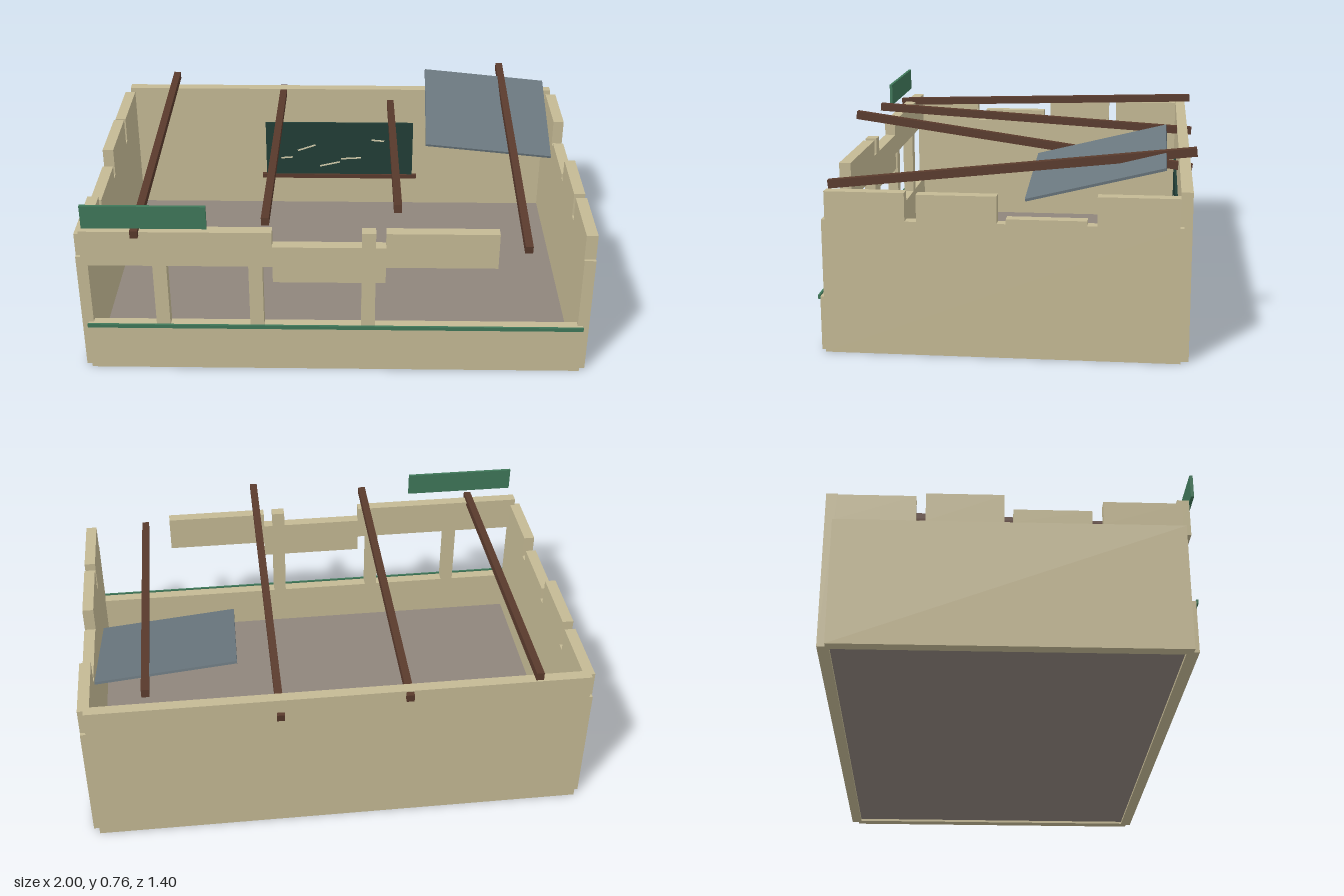
import * as THREE from 'three';

const material = (name, color) => {
  const m = new THREE.MeshStandardMaterial({ color });
  m.name = name;
  return m;
};

export function createModel() {
  const model = new THREE.Group();
  model.name = 'ruinedSchoolroom';

  const plaster = material('plaster', 0xc4b994);
  const concrete = material('concreteFloor', 0x8f857c);
  const timber = material('timber', 0x593a2c);
  const trim = material('greenTrim', 0x3f7759);
  const boardGreen = material('boardGreen', 0x213d36);
  const metal = material('sheetMetal', 0x6a777e);
  const chalk = material('chalk', 0xd2ccac);

  // Box given by its lower and upper limits on each axis
  const block = (name, mat, [x0, x1], [y0, y1], [z0, z1], parent = model) => {
    const mesh = new THREE.Mesh(new THREE.BoxGeometry(x1 - x0, y1 - y0, z1 - z0), mat);
    mesh.position.set((x0 + x1) / 2, (y0 + y1) / 2, (z0 + z1) / 2);
    mesh.name = name;
    parent.add(mesh);
    return mesh;
  };
  const group = (name) => {
    const g = new THREE.Group();
    g.name = name;
    model.add(g);
    return g;
  };

  // Floor and solid back wall
  block('floor', concrete, [-0.955, 0.955], [0.01, 0.03], [-0.64, 0.635]);
  block('backWall', plaster, [-0.975, 0.975], [0, 0.63], [-0.68, -0.637]);

  // Side walls with broken tops, listed from front to back
  const spans = [[0.345, 0.637], [0.303, 0.013], [-0.02, -0.31], [-0.345, -0.637]];
  const sideWall = (name, side, heights) => {
    const wall = group(name);
    const x = side > 0 ? [0.955, 1] : [-1, -0.955];
    block('wallBase', plaster, x, [0, 0.505], [-0.65, 0.65], wall);
    spans.forEach(([a, b], i) =>
      block('brokenTop', plaster, x, [0.505, heights[i]], [Math.min(a, b), Math.max(a, b)], wall));
  };
  sideWall('leftWall', 1, [0.61, 0.605, 0.523, 0.612]);
  sideWall('rightWall', -1, [0.6, 0.56, 0.622, 0.61]);

  // Front wall: low base, window posts, broken lintel
  const front = group('frontWall');
  const fz = [0.625, 0.67];
  block('frontBase', plaster, [-0.975, 0.975], [0, 0.205], fz, front);
  block('windowSill', trim, [-0.975, 0.975], [0.195, 0.211], [0.67, 0.678], front);
  [[-0.702, 0.48], [-0.333, 0.48], [0.102, 0.41]].forEach(([x, top]) =>
    block('windowPost', plaster, [x, x + 0.054], [0.205, top], fz, front));
  block('lintelRight', plaster, [-0.975, -0.24], [0.48, 0.63], fz, front);
  block('lintelMiddle', plaster, [-0.24, 0.195], [0.41, 0.567], fz, front);
  block('lintelLeft', plaster, [0.195, 0.625], [0.48, 0.63], fz, front);
  block('lintelStub', plaster, [0.102, 0.156], [0.567, 0.63], fz, front);

  // Chalkboard with ledge and chalk strokes
  const board = group('chalkboard');
  block('boardPanel', boardGreen, [-0.35, 0.345], [0.19, 0.46], [-0.637, -0.627], board);
  block('boardLedge', timber, [-0.37, 0.365], [0.17, 0.19], [-0.637, -0.62], board);
  [
    [-0.28, 0.275, -0.225, 0.28],
    [-0.2, 0.315, -0.115, 0.345],
    [-0.095, 0.233, 0, 0.255],
    [0.005, 0.272, 0.1, 0.278],
    [0.15, 0.372, 0.21, 0.367],
  ].forEach(([x0, y0, x1, y1]) => {
    const stroke = new THREE.Mesh(
      new THREE.BoxGeometry(Math.hypot(x1 - x0, y1 - y0), 0.007, 0.003), chalk);
    stroke.position.set((x0 + x1) / 2, (y0 + y1) / 2, -0.626);
    stroke.rotation.z = Math.atan2(y1 - y0, x1 - x0);
    stroke.name = 'chalkStroke';
    board.add(stroke);
  });

  // Tilted roof beams: x position, tilt
  [[-0.76, 0.029], [-0.262, -0.06], [0.235, -0.14], [0.735, 0.11]].forEach(([x, tilt]) => {
    const beam = new THREE.Mesh(new THREE.BoxGeometry(0.03, 0.032, 1.39), timber);
    beam.position.set(x, 0.65, -0.005);
    beam.rotation.x = tilt;
    beam.name = 'roofBeam';
    model.add(beam);
  });

  // Loose roof sheet resting on a beam
  const sheet = new THREE.Mesh(new THREE.BoxGeometry(0.54, 0.01, 0.52), metal);
  sheet.position.set(0.65, 0.663, -0.332);
  sheet.rotation.set(0.25, 0, -0.1, 'ZXY');
  sheet.name = 'roofSheet';
  model.add(sheet);

  // Blank sign plate over the front
  block('signPlate', trim, [-0.955, -0.482], [0.66, 0.755], [0.683, 0.695]);

  return model;
}
